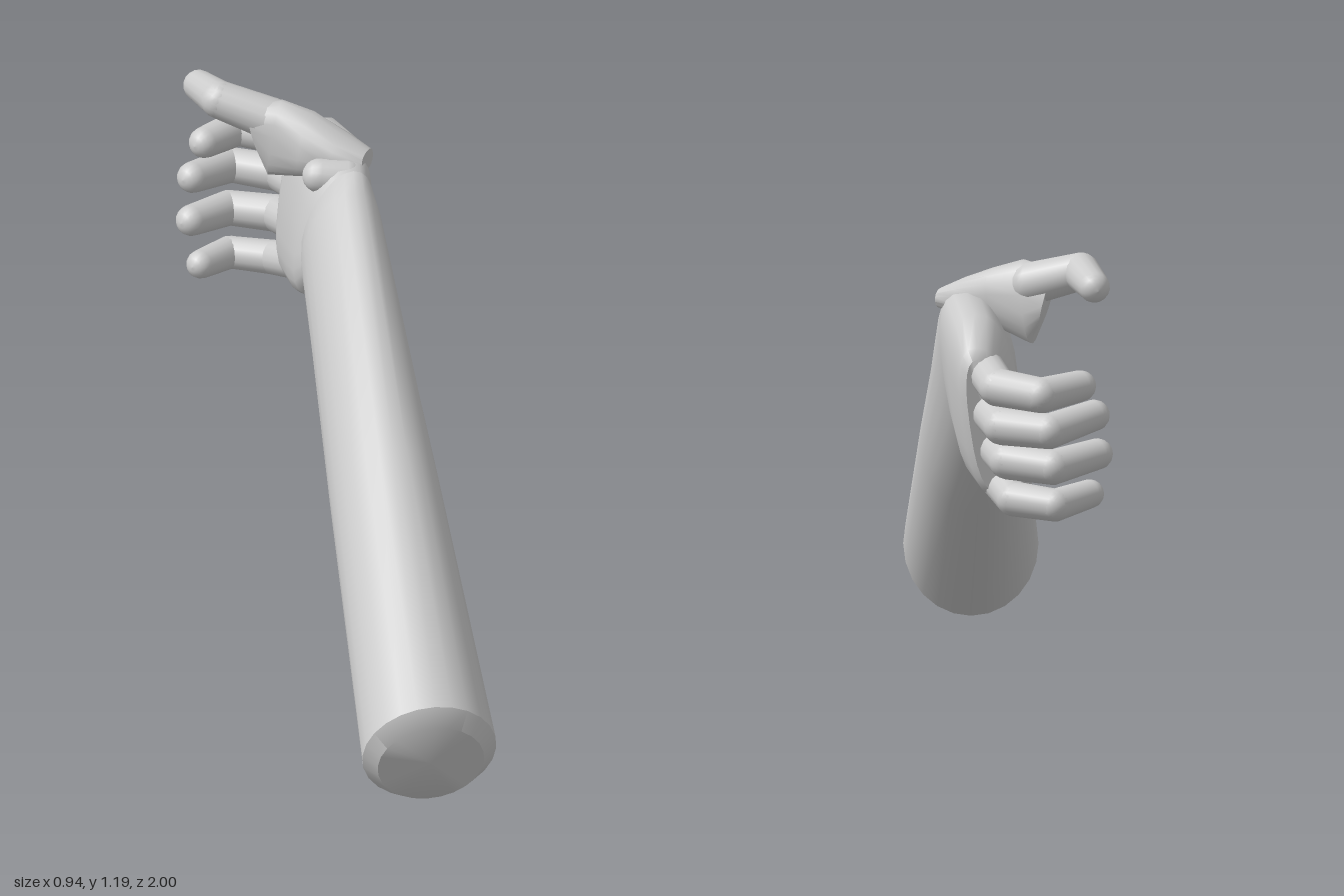
import * as THREE from 'three';
import { toCreasedNormals } from 'three/addons/utils/BufferGeometryUtils.js';

const V = (a) => new THREE.Vector3(...a);

// Skin over elliptical rings [centre, halfAxisU, halfAxisV]; power < 1 makes the rings boxier
function loft(rings, sides, power = 1) {
  const pos = [], idx = [], n = rings.length;
  const first = V(rings[0][0]), last = V(rings[n - 1][0]);
  const dir = last.clone().sub(first);
  const soft = (t) => Math.sign(t) * Math.pow(Math.abs(t), power);
  for (const [c, u, v] of rings) {
    const flip = V(u).cross(V(v)).dot(dir) < 0 ? -1 : 1;
    for (let i = 0; i < sides; i++) {
      const a = (i / sides) * Math.PI * 2;
      const p = V(c).addScaledVector(V(u), soft(Math.cos(a))).addScaledVector(V(v), flip * soft(Math.sin(a)));
      pos.push(p.x, p.y, p.z);
    }
  }
  pos.push(...first.toArray(), ...last.toArray());
  for (let i = 0; i < sides; i++) {
    const j = (i + 1) % sides;
    for (let r = 0; r < n - 1; r++) {
      const a = r * sides + i, b = r * sides + j;
      idx.push(a, b, b + sides, a, b + sides, a + sides);
    }
    const top = (n - 1) * sides;
    idx.push(n * sides, j, i, n * sides + 1, top + i, top + j);
  }
  const g = new THREE.BufferGeometry();
  g.setAttribute('position', new THREE.Float32BufferAttribute(pos, 3));
  g.setIndex(idx);
  return toCreasedNormals(g, 0.75);
}

// Round-ended tapered segment between two points
function segment(a, b, ra, rb) {
  const A = V(a), d = V(b).sub(A), len = d.length(), pts = [];
  for (let i = 0; i <= 5; i++) {
    const t = (i / 5) * Math.PI / 2;
    pts.push(new THREE.Vector2(ra * Math.sin(t), -ra * Math.cos(t)));
  }
  for (let i = 0; i <= 5; i++) {
    const t = (i / 5) * Math.PI / 2;
    pts.push(new THREE.Vector2(rb * Math.cos(t), len + rb * Math.sin(t)));
  }
  const g = new THREE.LatheGeometry(pts, 16);
  g.applyQuaternion(new THREE.Quaternion().setFromUnitVectors(new THREE.Vector3(0, 1, 0), d.normalize()));
  return g.translate(A.x, A.y, A.z);
}

export function createModel() {
  const model = new THREE.Group();
  const grey = new THREE.MeshStandardMaterial({ color: 0xcccccc });
  grey.name = 'light grey';
  const add = (name, geometry, parent = model) => {
    const m = new THREE.Mesh(geometry, grey);
    m.name = name;
    parent.add(m);
  };

  // Forearm: round at the elbow, flattened at the wrist, with a shallow domed end
  add('forearm', loft([
    [[0.317, 0.147, 0.93], [0.09, 0.12, 0.06], [0.125, 0, -0.03]].map((r, i) => i === 1 ? [0.017, 0.125, 0.065] : r),
    [[0.31, 0.163, 0.9], [0.022, 0.16, 0.084], [0.157, 0, -0.04]],
    [[0.135, 0.535, 0.24], [0.03, 0.148, 0.076], [0.125, 0, -0.033]],
    [[-0.03, 0.89, -0.38], [0.038, 0.15, 0.04], [0.088, 0, -0.022]],
    [[-0.045, 0.91, -0.43], [0.04, 0.145, 0.0], [0.075, 0, -0.02]],
  ], 24));

  // Palm
  add('palm', loft([
    [[-0.045, 0.905, -0.41], [0.035, 0.135, -0.015], [0.065, 0, -0.02]],
    [[-0.06, 0.885, -0.47], [0.035, 0.175, -0.015], [0.078, 0, -0.025]],
    [[-0.09, 0.865, -0.59], [0.03, 0.21, -0.01], [0.08, 0, -0.03]],
    [[-0.135, 0.84, -0.72], [0.022, 0.21, -0.01], [0.075, 0, -0.03]],
    [[-0.165, 0.805, -0.81], [0.018, 0.185, -0.03], [0.055, 0, -0.025]],
    [[-0.172, 0.8, -0.828], [0.016, 0.165, -0.027], [0.04, 0, -0.02]],
  ], 24, 0.75));

  // Four curled fingers, each a chain of three segments
  const finger = (name, points, radii) => {
    const g = new THREE.Group();
    g.name = name;
    model.add(g);
    ['Base', 'Middle', 'Tip'].slice(4 - points.length).forEach((part, i) =>
      add(name + part, segment(points[i], points[i + 1], radii[i], radii[i + 1]), g));
  };
  const r = [0.047, 0.046, 0.043, 0.038];
  finger('indexFinger', [[-0.155, 0.93, -0.79], [-0.215, 0.91, -0.905], [-0.335, 0.905, -0.953], [-0.405, 0.912, -0.85]], r);
  finger('middleFinger', [[-0.16, 0.835, -0.79], [-0.225, 0.815, -0.9], [-0.35, 0.815, -0.935], [-0.43, 0.835, -0.815]], r);
  finger('ringFinger', [[-0.17, 0.745, -0.77], [-0.23, 0.725, -0.865], [-0.35, 0.72, -0.895], [-0.43, 0.735, -0.785]], r);
  finger('littleFinger', [[-0.175, 0.655, -0.75], [-0.235, 0.625, -0.83], [-0.345, 0.62, -0.858], [-0.405, 0.632, -0.76]],
    r.map((v) => v * 0.92));

  // Thumb: broad base webbed to the palm, then two segments
  add('thumbBase', loft([
    [[0.02, 1.045, -0.515], [0, 0.025, 0], [-0.01, 0, 0.035]],
    [[-0.05, 1.05, -0.53], [0.01, 0.05, 0], [-0.02, 0, 0.055]],
    [[-0.13, 1.06, -0.56], [0.01, 0.075, -0.01], [-0.015, 0, 0.058]],
    [[-0.21, 1.06, -0.59], [0.015, 0.1, 0.01], [-0.005, 0, 0.052]],
    [[-0.262, 1.075, -0.6], [-0.015, 0.065, 0.01], [0, 0, 0.045]],
  ], 18, 0.85));
  add('wristJoint', segment([-0.09, 1.02, -0.47], [-0.03, 1.01, -0.48], 0.042, 0.05));
  finger('thumb', [[-0.22, 1.105, -0.595], [-0.345, 1.143, -0.61], [-0.405, 1.128, -0.715]], [0.052, 0.046, 0.038]);

  return model;
}
